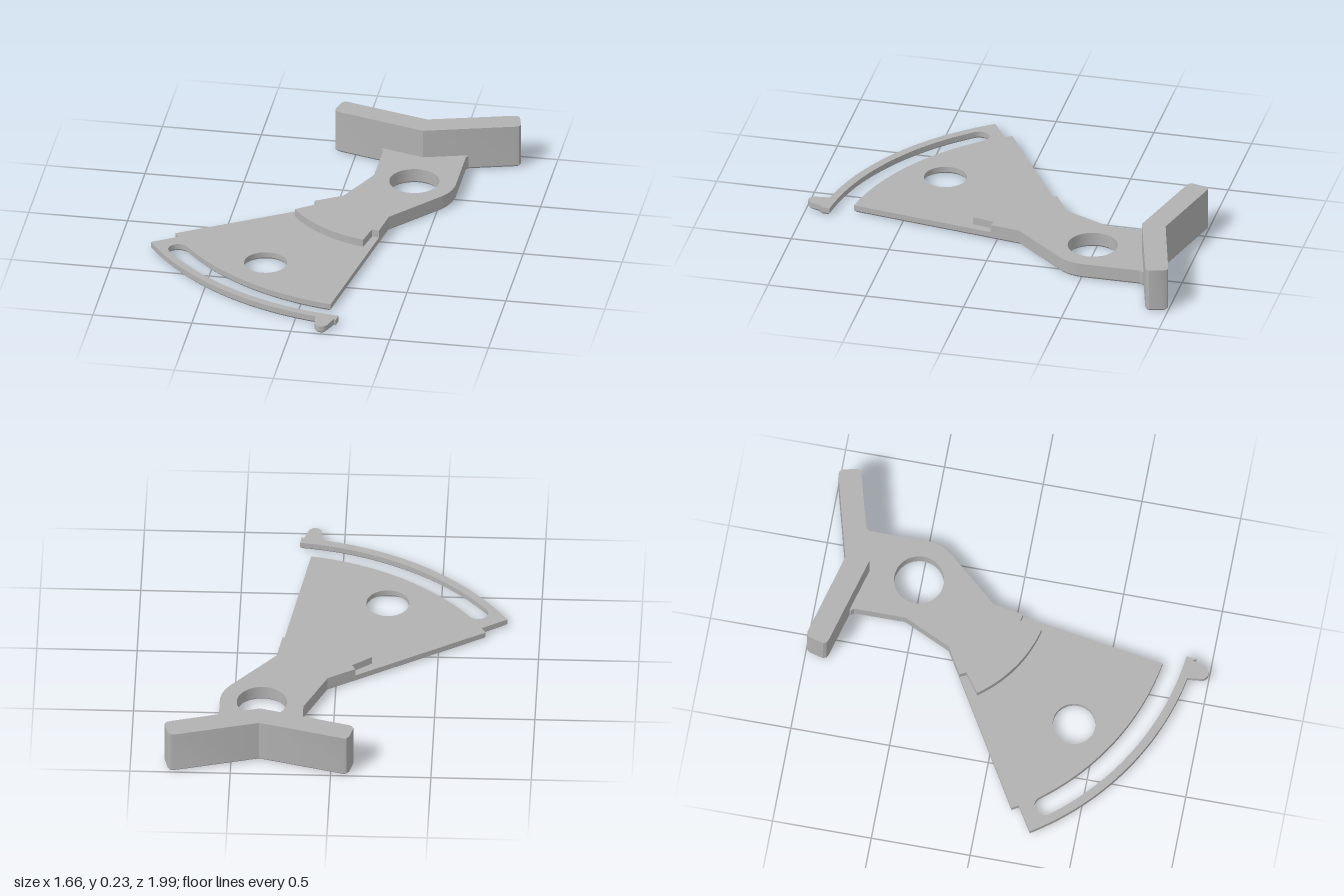
import * as THREE from 'three';
import { toCreasedNormals, mergeGeometries } from 'three/addons/utils/BufferGeometryUtils.js';

const PIVOT = [0.36, -0.51]; // centre of the hub hole and of every arc
const CHAMFER = 0.012;

// Points [x, z] along an arc, angles in degrees from +x towards +z
function arc([cx, cz], r, from, to, n) {
  return Array.from({ length: n + 1 }, (_, i) => {
    const a = THREE.MathUtils.degToRad(from + ((to - from) * i) / n);
    return [cx + r * Math.cos(a), cz + r * Math.sin(a)];
  });
}

function makeShape(points, holes = []) {
  const toPath = (list) => list.map(([x, z]) => new THREE.Vector2(x, -z));
  const shape = new THREE.Shape(toPath(points));
  for (const [centre, r] of holes) {
    shape.holes.push(new THREE.Path(toPath(arc(centre, r, 0, 352.5, 47))));
  }
  return shape;
}

// Keep only the triangles whose depth values pass a test
function filterTriangles(geometry, keep) {
  const p = geometry.attributes.position;
  const out = [];
  for (let i = 0; i < p.count; i += 3) {
    const zs = [p.getZ(i), p.getZ(i + 1), p.getZ(i + 2)];
    if (!keep(zs)) continue;
    for (let k = i; k < i + 3; k++) out.push(p.getX(k), p.getY(k), p.getZ(k));
  }
  const g = new THREE.BufferGeometry();
  g.setAttribute('position', new THREE.Float32BufferAttribute(out, 3));
  return g;
}

// Upright plate from y0 to y1, optionally with a chamfer around its underside
function plate(name, shape, y0, y1, material, chamfer = 0) {
  let geometry = filterTriangles(
    new THREE.ExtrudeGeometry(shape, { depth: y1 - y0 - chamfer, bevelEnabled: false }).translate(0, 0, y0 + chamfer),
    (zs) => !chamfer || Math.max(...zs) > y0 + chamfer + 1e-4
  );
  if (chamfer) {
    const rim = new THREE.ExtrudeGeometry(shape, {
      depth: 0.1, bevelEnabled: true, bevelSegments: 1,
      bevelSize: chamfer, bevelOffset: -chamfer, bevelThickness: chamfer,
    }).translate(0, 0, y0 + chamfer);
    const underside = filterTriangles(rim, (zs) => Math.max(...zs) < y0 + chamfer + 1e-4);
    geometry = mergeGeometries([geometry, underside]);
  }
  geometry.rotateX(-Math.PI / 2);
  const mesh = new THREE.Mesh(toCreasedNormals(geometry, 0.5), material);
  mesh.name = name;
  return mesh;
}

export function createModel() {
  const grey = new THREE.MeshStandardMaterial({ color: 0xb2b2b2 });
  grey.name = 'grey';
  const group = new THREE.Group();
  group.name = 'sectorLever';

  // Neck sides shared by the base plate and the raised hub
  const neckRight = [
    [0.30, -0.12],
    ...arc(PIVOT, 0.21, 42, 0, 8),
    [0.57, -0.80], [0.58, -0.815], [0.58, -0.83],
  ];
  const neckLeft = [
    [0.36, -0.79],
    [0.14, -0.83], [0.14, -0.815], [0.152, -0.80],
    [0.152, -0.54], [0.04, -0.30],
  ];
  const hubHole = [PIVOT, 0.125];

  // Sector plate with its slot and thin curved finger ending in a nub
  const slotEnd = arc(PIVOT, 1.336, 141.6, 141.6, 1)[0];
  const base = [
    ...neckLeft,
    [-0.73, 0.16], [-0.71, 0.195],
    ...arc(PIVOT, 1.428, 146.8, 100.2, 40),
    [0.113, 0.95],
    ...arc([0.148, 0.962], 0.034, 170, 20, 8),
    [0.203, 0.905], [0.213, 0.922],
    ...arc(PIVOT, 1.387, 95.8, 141.3, 40),
    ...arc(slotEnd, 0.051, 141.6, 321.6, 14),
    ...arc(PIVOT, 1.285, 141.3, 98.95, 40),
    ...neckRight,
  ];
  group.add(plate('sectorPlate', makeShape(base, [hubHole, [[-0.235, 0.385], 0.107]]), 0, 0.04, grey, CHAMFER));

  // Raised hub with a curved step and small side tabs
  const hub = [
    ...neckLeft,
    [-0.095, -0.22], [-0.078, -0.188],
    ...arc(PIVOT, 0.664, 143.7, 102.6, 24),
    [0.24, 0.025], [0.276, 0.032],
    ...neckRight,
  ];
  group.add(plate('raisedHub', makeShape(hub, [hubHole]), 0.04, 0.08, grey));

  // Tall V-shaped bar with rounded ends, mirrored about the pivot line
  const armEnd = [
    [0.445, -0.884], [0.463, -0.892], [0.47, -0.91],
    [0.452, -0.98], [0.44, -0.995], [0.425, -0.997],
  ];
  const bar = [
    [0.36, -0.762],
    ...armEnd.map(([x, z]) => [0.36 + x, z]),
    [0.36, -0.883],
    ...armEnd.map(([x, z]) => [0.36 - x, z]).reverse(),
  ];
  group.add(plate('vBar', makeShape(bar), 0, 0.23, grey, CHAMFER));

  return group;
}
